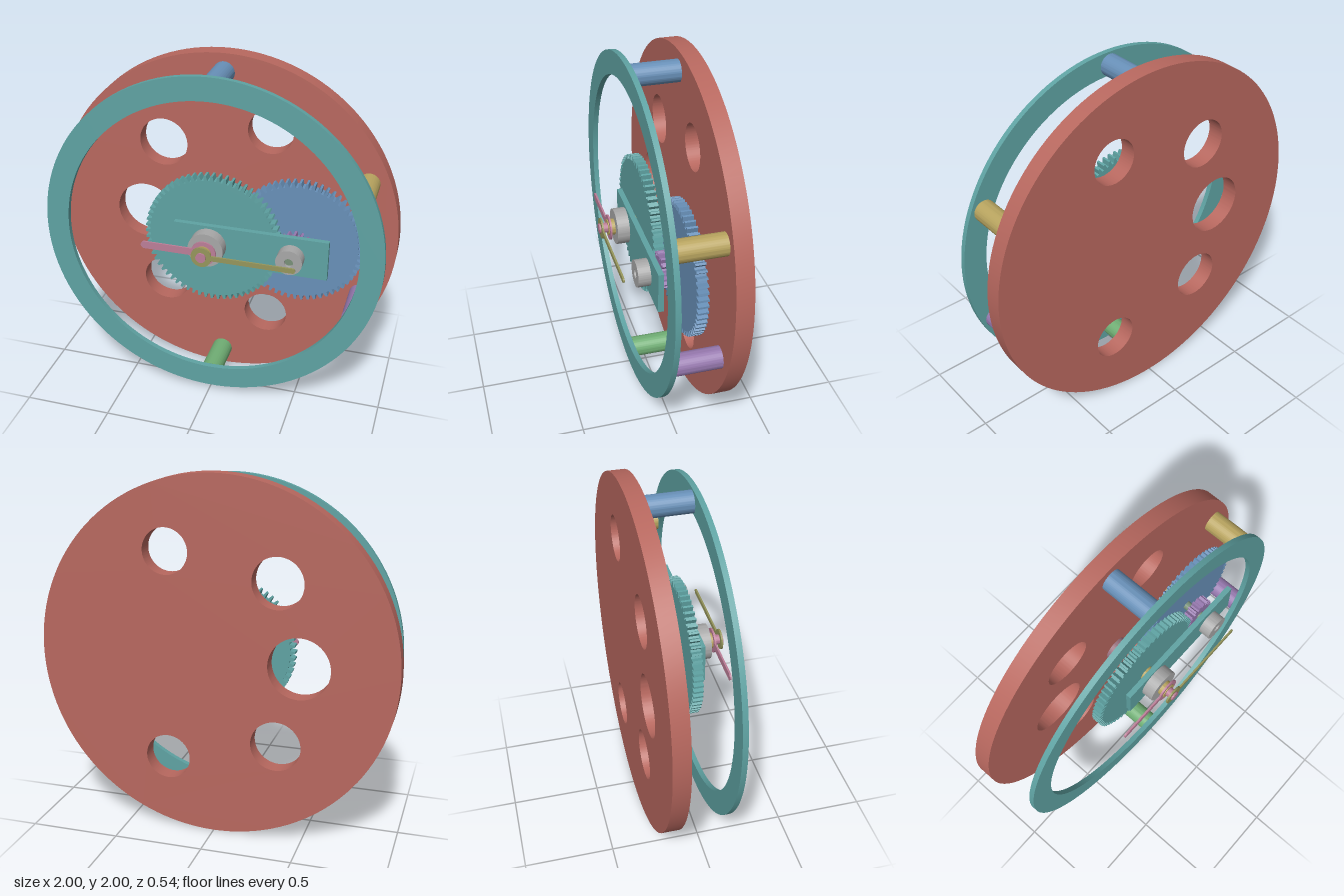
import * as THREE from 'three';
import { toCreasedNormals } from 'three/addons/utils/BufferGeometryUtils.js';

const RED = 0xb8685f, TEAL = 0x5fa3a3, BLUE = 0x6890b8, GOLD = 0xb8a45f;
const PURPLE = 0x9678ae, GREEN = 0x70ae74, GREY = 0xa8a8a8, PINK = 0xbc7e98;
const OLIVE = 0x96965c, MAUVE = 0x99717f;

export function createModel() {
  const model = new THREE.Group();
  const ARBOR_X = 0.465;

  // Extrude a shape from z0 to z1, placed at (x, y)
  function slab(name, shape, x, y, z0, z1, color) {
    const geo = new THREE.ExtrudeGeometry(shape, { depth: z1 - z0, bevelEnabled: false, curveSegments: 64 });
    const mesh = new THREE.Mesh(toCreasedNormals(geo, 0.35), new THREE.MeshStandardMaterial({ color }));
    mesh.name = name;
    mesh.position.set(x, y, z0);
    model.add(mesh);
    return mesh;
  }

  const circle = (r, x = 0, y = 0) => new THREE.Shape().absarc(x, y, r, 0, Math.PI * 2, false);

  // Disc, or a washer when a hole radius is given
  function disc(r, hole = 0) {
    const s = circle(r);
    if (hole) s.holes.push(circle(hole));
    return s;
  }

  // Spur gear outline with trapezoid teeth
  function gear(teeth, tip, root, hole) {
    const pts = [];
    const pitch = Math.PI * 2 / teeth;
    for (let i = 0; i < teeth; i++) {
      for (const [f, r] of [[-0.32, root], [-0.15, tip], [0.15, tip], [0.32, root]]) {
        const a = (i + f) * pitch;
        pts.push(new THREE.Vector2(Math.cos(a) * r, Math.sin(a) * r));
      }
    }
    const s = new THREE.Shape(pts);
    s.holes.push(circle(hole));
    return s;
  }

  // Clock hand along +x: eye around the origin, bar, rounded tip
  function hand(eye, half, length, hole) {
    const a = Math.asin(half / eye);
    const s = new THREE.Shape();
    s.absarc(0, 0, eye, a, Math.PI * 2 - a, false);
    s.absarc(length - half, 0, half, -Math.PI / 2, Math.PI / 2, false);
    s.closePath();
    s.holes.push(circle(hole));
    return s;
  }

  // Back plate with five round windows
  const plate = disc(1);
  for (const [x, y, r] of [[-0.35, 0.45, 0.14], [-0.35, -0.45, 0.14], [-0.47, 0, 0.17],
    [0.265, 0.583, 0.127], [0.265, -0.583, 0.127]]) plate.holes.push(circle(r, x, y));
  slab('backPlate', plate, 0, 1, -0.27, -0.175, RED);

  // Front ring and the bridge carrying the shafts
  slab('frontRing', disc(0.967, 0.835), 0, 1, 0.085, 0.115, TEAL);
  const bridge = new THREE.Shape();
  bridge.moveTo(-0.2, -0.115);
  bridge.lineTo(0.665, -0.115);
  bridge.lineTo(0.665, 0.115);
  bridge.lineTo(-0.2, 0.115);
  bridge.closePath();
  bridge.holes.push(circle(0.045), circle(0.025, ARBOR_X, 0));
  slab('bridge', bridge, 0, 1, 0.085, 0.115, TEAL);

  // Pillars joining plate and ring
  for (const [name, x, y, color] of [['topPillar', 0, 1.895, BLUE], ['bottomPillar', 0, 0.108, GREEN],
    ['upperLeftPillar', 0.815, 1.352, GOLD], ['lowerLeftPillar', 0.815, 0.65, PURPLE]]) {
    slab(name, disc(0.06), x, y, -0.175, 0.085, color);
  }

  // Reduction gear train
  slab('hourGear', gear(64, 0.388, 0.36, 0.03), 0, 1, 0, 0.056, TEAL);
  slab('intermediateGear', gear(60, 0.367, 0.339, 0.025), ARBOR_X, 1, -0.1, -0.042, BLUE);
  slab('minutePinion', gear(20, 0.123, 0.1, 0.025), 0, 1, -0.1, -0.042, RED);
  slab('intermediatePinion', gear(16, 0.1, 0.076, 0.025), ARBOR_X, 1, 0, 0.056, PURPLE);

  // Bearings on plate and bridge
  slab('centreRearBearing', disc(0.07, 0.025), 0, 1, -0.175, -0.105, MAUVE);
  slab('arborRearBearing', disc(0.073, 0.025), ARBOR_X, 1, -0.175, -0.107, OLIVE);
  slab('centreFrontBearing', disc(0.1, 0.045), 0, 1, 0.115, 0.183, GREY);
  slab('arborFrontBearing', disc(0.073, 0.025), ARBOR_X, 1, 0.115, 0.183, GREY);

  // Shafts
  slab('arbor', disc(0.025), ARBOR_X, 1, -0.175, 0.165, 0x789078);
  slab('hourTube', disc(0.045, 0.03), 0, 1, 0.05, 0.222, GOLD);
  slab('minuteShaft', disc(0.028), 0, 1, -0.175, 0.27, PINK);

  // Hands
  slab('hourHand', hand(0.07, 0.021, 0.36, 0.044), 0, 1, 0.207, 0.217, PINK).rotation.z = Math.PI;
  slab('minuteHand', hand(0.058, 0.014, 0.517, 0.027), 0, 1, 0.25, 0.26, OLIVE);

  return model;
}
